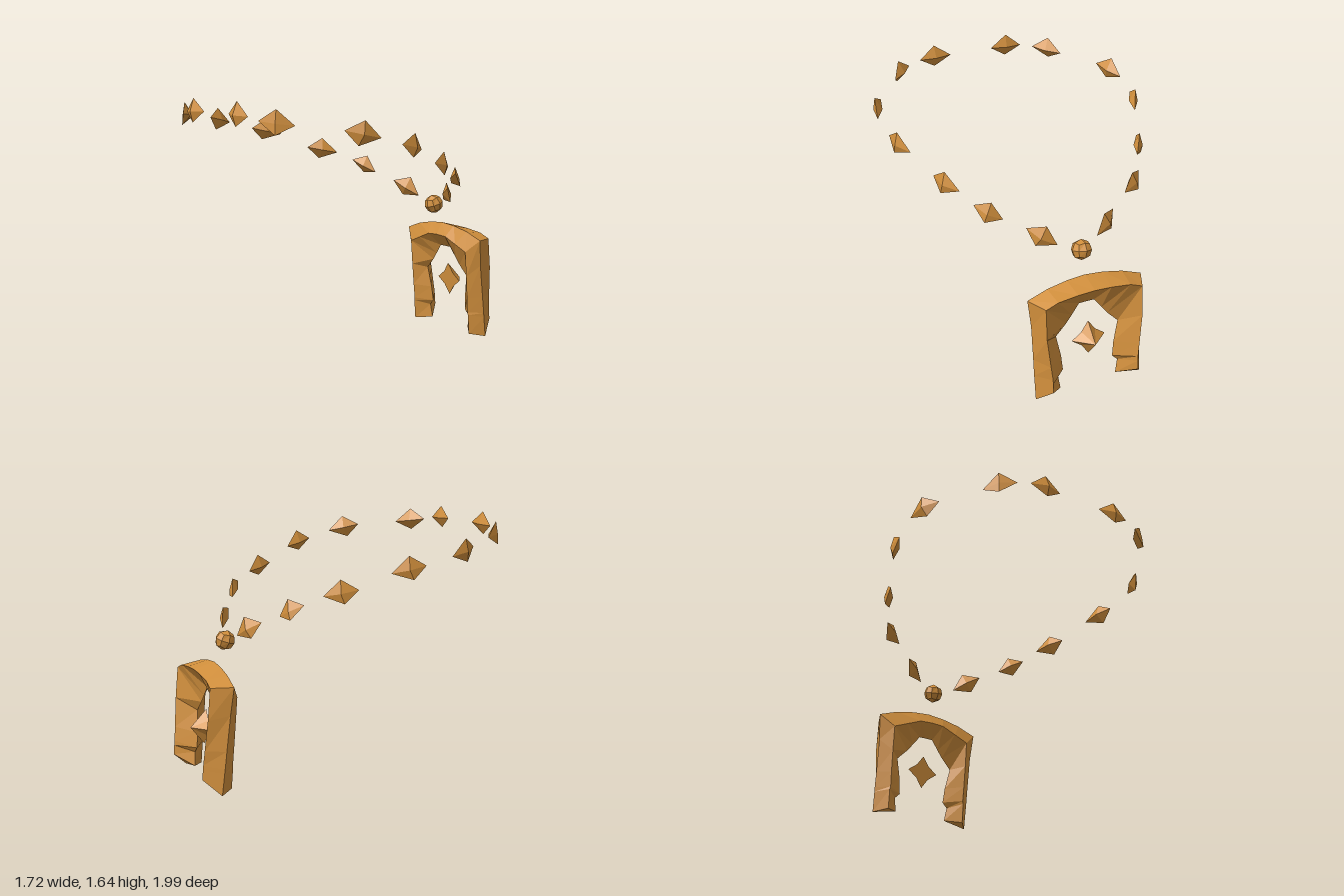
import * as THREE from 'three';
import { ConvexGeometry } from 'three/addons/geometries/ConvexGeometry.js';

const V = (x, y, z) => new THREE.Vector3(x, y, z);

// Faceted geometry from a list of corner points, three per face
function faceted(points) {
  const g = new THREE.BufferGeometry().setFromPoints(points);
  g.computeVertexNormals();
  return g;
}

// Flat gem: two ends, top and bottom corners, a ridge outside and a shallow one inside
function gemGeometry([a, b, top, bottom], side) {
  const [A, B, T, U] = [a, b, top, bottom].map(p => V(p[0] * side, p[1], p[2]));
  const mid = A.clone().add(B).multiplyScalar(0.5);
  const d = B.clone().sub(A);
  const n = V(d.z, 0, -d.x).normalize();
  if (n.x * mid.x + n.z * mid.z < 0) n.negate();
  const outer = mid.clone().addScaledVector(n, 0.038);
  const inner = mid.clone().addScaledVector(n, -0.02);
  return new ConvexGeometry([A, B, T, U, outer, inner]);
}

// Arch swept from the left foot over the crown to the right foot
function archGeometry() {
  // each station: x, y of outer edge, back edge, inner edge, front edge
  const half = [
    [.36, .005, .29, .1, .19, .035, .29, .02],
    [.362, .14, .29, .16, .205, .125, .29, .15],
    [.363, .17, .29, .19, .17, .16, .285, .17],
    [.363, .28, .3, .28, .18, .26, .288, .27],
    [.365, .5, .32, .47, .21, .4, .29, .42],
    [.38, .675, .32, .67, .14, .47, .29, .59],
    [.25, .72, .24, .7, .1, .52, .19, .63],
    [.12, .745, .11, .715, .05, .585, .09, .67],
    [0, .755, 0, .72, 0, .585, 0, .675],
  ];
  const depth = [[-.895, .12], [-1.005, .09], [-.89, .09], [-.81, .08]];
  const ring = (s, side) => depth.map(([z0, k], i) =>
    V(s[2 * i] * side, s[2 * i + 1], z0 + k * s[2 * i + 1]));
  const rings = half.map(s => ring(s, 1))
    .concat(half.slice(0, -1).reverse().map(s => ring(s, -1)));
  const pts = [];
  for (let r = 0; r < rings.length - 1; r++) {
    for (let i = 0; i < 4; i++) {
      const j = (i + 1) % 4, p = rings[r], q = rings[r + 1];
      pts.push(p[i], p[j], q[j], p[i], q[j], q[i]);
    }
  }
  // soles of the two feet
  const s = rings[0], e = rings[rings.length - 1];
  pts.push(s[2], s[1], s[0], s[3], s[2], s[0]);
  pts.push(e[0], e[1], e[2], e[0], e[2], e[3]);
  return faceted(pts);
}

// Four-pointed star with a flat front and a pointed back
function starGeometry() {
  const rim = [];
  for (let i = 0; i < 8; i++) {
    const t = i * Math.PI / 4, r = i % 2 ? 0.066 : 0.112;
    const y = 0.348 + r * Math.sin(t);
    rim.push(V(r * Math.cos(t), y, -0.9 + 0.08 * y));
  }
  const front = V(0, 0.348, -0.9 + 0.08 * 0.348), back = V(0, 0.35, -0.97);
  return faceted(rim.flatMap((p, i) => {
    const q = rim[(i + 1) % 8];
    return [front, p, q, back, q, p];
  }));
}

// Ball: a divided cube pushed out to a sphere
function ballGeometry(radius) {
  const g = new THREE.BoxGeometry(1, 1, 1, 2, 2, 2).toNonIndexed();
  const pos = g.attributes.position, v = new THREE.Vector3();
  for (let i = 0; i < pos.count; i++) {
    v.fromBufferAttribute(pos, i).setLength(radius);
    pos.setXYZ(i, v.x, v.y, v.z);
  }
  g.computeVertexNormals();
  return g;
}

export function createModel() {
  const gold = new THREE.MeshStandardMaterial({ color: 0xd18f3c });
  gold.name = 'gold';
  const model = new THREE.Group();
  model.name = 'necklace';
  const add = (parent, name, geometry) => {
    const mesh = new THREE.Mesh(geometry, gold);
    mesh.name = name;
    parent.add(mesh);
    return mesh;
  };

  // Gems of the chain, one side: both ends, top, bottom
  const gems = [
    [[.15, 1.567, .955], [.37, 1.56, .955], [.265, 1.645, .965], [.262, 1.497, .975]],
    [[.455, 1.54, .94], [.605, 1.515, .79], [.55, 1.608, .88], [.56, 1.462, .895]],
    [[.86, 1.445, .38], [.775, 1.49, .575], [.843, 1.547, .48], [.82, 1.403, .51]],
    [[.775, 1.355, .02], [.842, 1.40, .217], [.825, 1.46, .11], [.843, 1.32, .135]],
    [[.6, 1.22, -.335], [.695, 1.26, -.148], [.66, 1.322, -.25], [.685, 1.18, -.235]],
    [[.407, 1.085, -.53], [.555, 1.168, -.435], [.47, 1.198, -.505], [.518, 1.077, -.51]],
    [[.132, .935, -.7], [.29, 1.035, -.6], [.19, 1.06, -.675], [.255, .935, -.655]],
  ];
  for (const side of [1, -1]) {
    const chain = new THREE.Group();
    chain.name = side > 0 ? 'leftChain' : 'rightChain';
    gems.forEach((gem, i) => add(chain, `gem${i + 1}`, gemGeometry(gem, side)));
    model.add(chain);
  }

  // Ball that joins chain and pendant
  const ball = add(model, 'ball', ballGeometry(0.064));
  ball.position.set(-0.01, 0.888, -0.735);
  ball.rotation.set(0.3, 0.1, 0.1);

  // Pendant
  const pendant = new THREE.Group();
  pendant.name = 'pendant';
  add(pendant, 'arch', archGeometry());
  add(pendant, 'star', starGeometry());
  model.add(pendant);
  return model;
}
